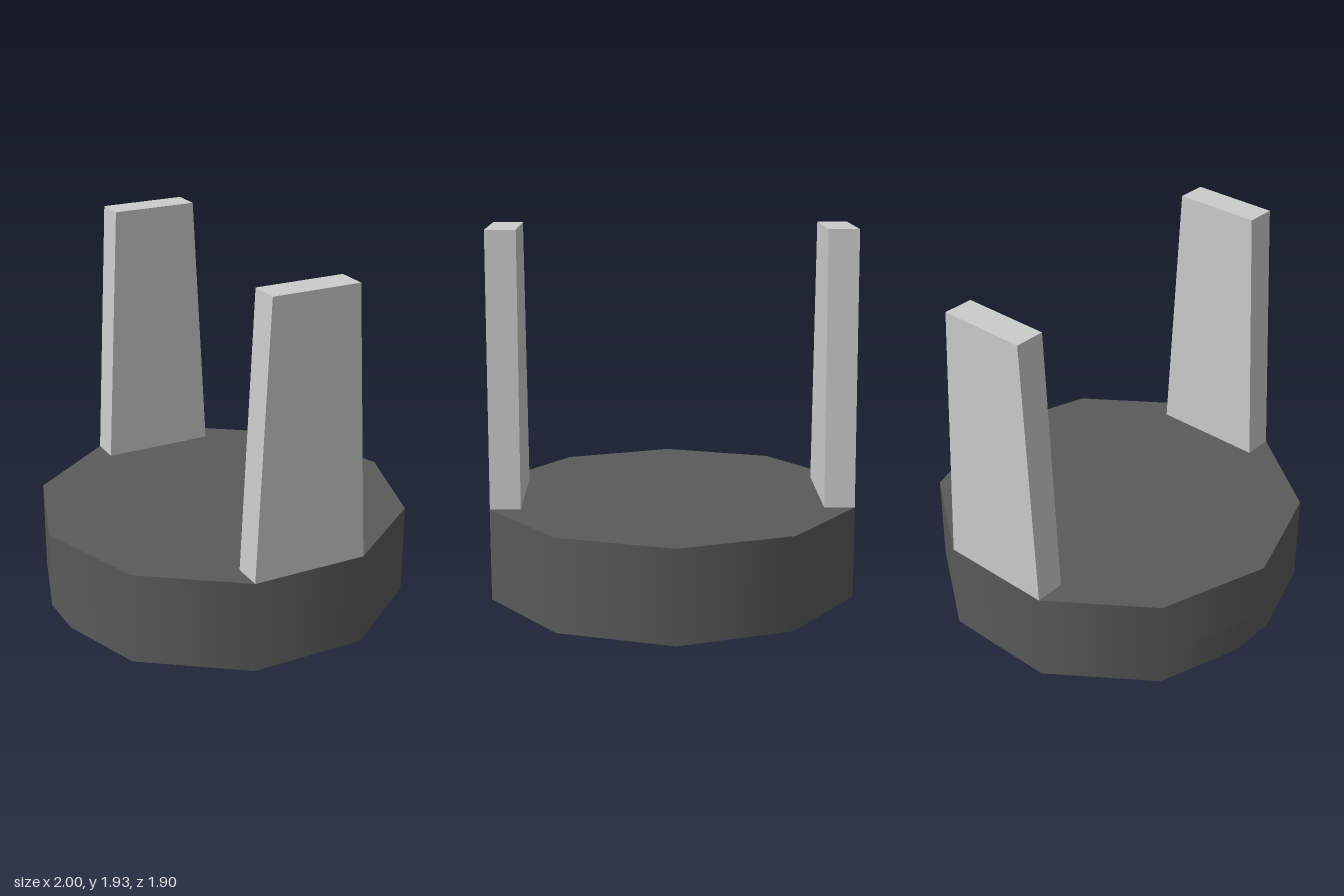
import * as THREE from 'three';

const BASE_H = 0.49, NOTCH_H = 0.18, NOTCH_X = -0.957, TOP = 1.93;
const grey = new THREE.MeshStandardMaterial({ color: 0xcccccc });
const dark = new THREE.MeshStandardMaterial({ color: 0x5a5a5a });

function add(parent, name, geometry, material) {
  const mesh = new THREE.Mesh(geometry, material);
  mesh.name = name;
  parent.add(mesh);
  return mesh;
}

// Vertical wall along an outline that runs counter-clockwise seen from above
function wall(points, y0, y1, smooth) {
  const pos = [], nor = [], index = [];
  points.forEach((p, i) => {
    pos.push(p.x, y0, -p.y, p.x, y1, -p.y);
    const n = p.clone().normalize();
    nor.push(n.x, 0, -n.y, n.x, 0, -n.y);
    if (i) index.push(2 * i - 2, 2 * i, 2 * i + 1, 2 * i - 2, 2 * i + 1, 2 * i - 1);
  });
  const g = new THREE.BufferGeometry();
  g.setAttribute('position', new THREE.Float32BufferAttribute(pos, 3));
  g.setAttribute('normal', new THREE.Float32BufferAttribute(nor, 3));
  g.setIndex(index);
  if (!smooth) g.computeVertexNormals();
  return g;
}

// Flat horizontal face facing up or down (outlines are symmetric in z)
function cap(points, y, up) {
  return new THREE.ShapeGeometry(new THREE.Shape(points))
    .rotateX(up ? -Math.PI / 2 : Math.PI / 2)
    .translate(0, y, 0);
}

export function createModel() {
  const model = new THREE.Group();
  model.name = 'twoPostStand';

  // Ten-sided base; the outline starts and ends at the notched corner
  const base = new THREE.Group();
  base.name = 'base';
  model.add(base);
  const ring = [];
  for (let i = 0; i <= 10; i++) {
    const a = Math.PI + (i * Math.PI) / 5;
    ring.push(new THREE.Vector2(Math.cos(a), Math.sin(a)));
  }
  const corner = ring[0];
  const t = (NOTCH_X - corner.x) / (ring[1].x - corner.x);
  const cutA = corner.clone().lerp(ring[1], t);
  const cutB = corner.clone().lerp(ring[9], t);
  const lower = [cutA, ...ring.slice(1, 10), cutB];

  add(base, 'baseUpperWall', wall(ring, NOTCH_H, BASE_H, true), dark);
  add(base, 'baseLowerWall', wall(lower, 0, NOTCH_H, true), dark);
  add(base, 'baseTop', cap(ring.slice(0, 10), BASE_H, true), dark);
  add(base, 'baseBottom', cap(lower, 0, false), dark);

  // Small notch cut from the lower part of one corner
  add(base, 'notchFace', wall([cutB, cutA], 0, NOTCH_H, false), dark);
  add(base, 'notchCeiling', cap([corner, cutA, cutB], NOTCH_H, false), dark);

  // Tapered upright slabs at the front and back edges
  const outline = new THREE.Shape([
    new THREE.Vector2(-0.31, BASE_H), new THREE.Vector2(0.31, BASE_H),
    new THREE.Vector2(0.235, TOP), new THREE.Vector2(-0.235, TOP),
  ]);
  const slab = new THREE.ExtrudeGeometry(outline, { depth: 0.16, bevelEnabled: false })
    .translate(0, 0, -0.08);
  for (const [name, side] of [['frontPost', 1], ['backPost', -1]]) {
    add(model, name, slab, grey).position.z = side * 0.87;
  }
  return model;
}
